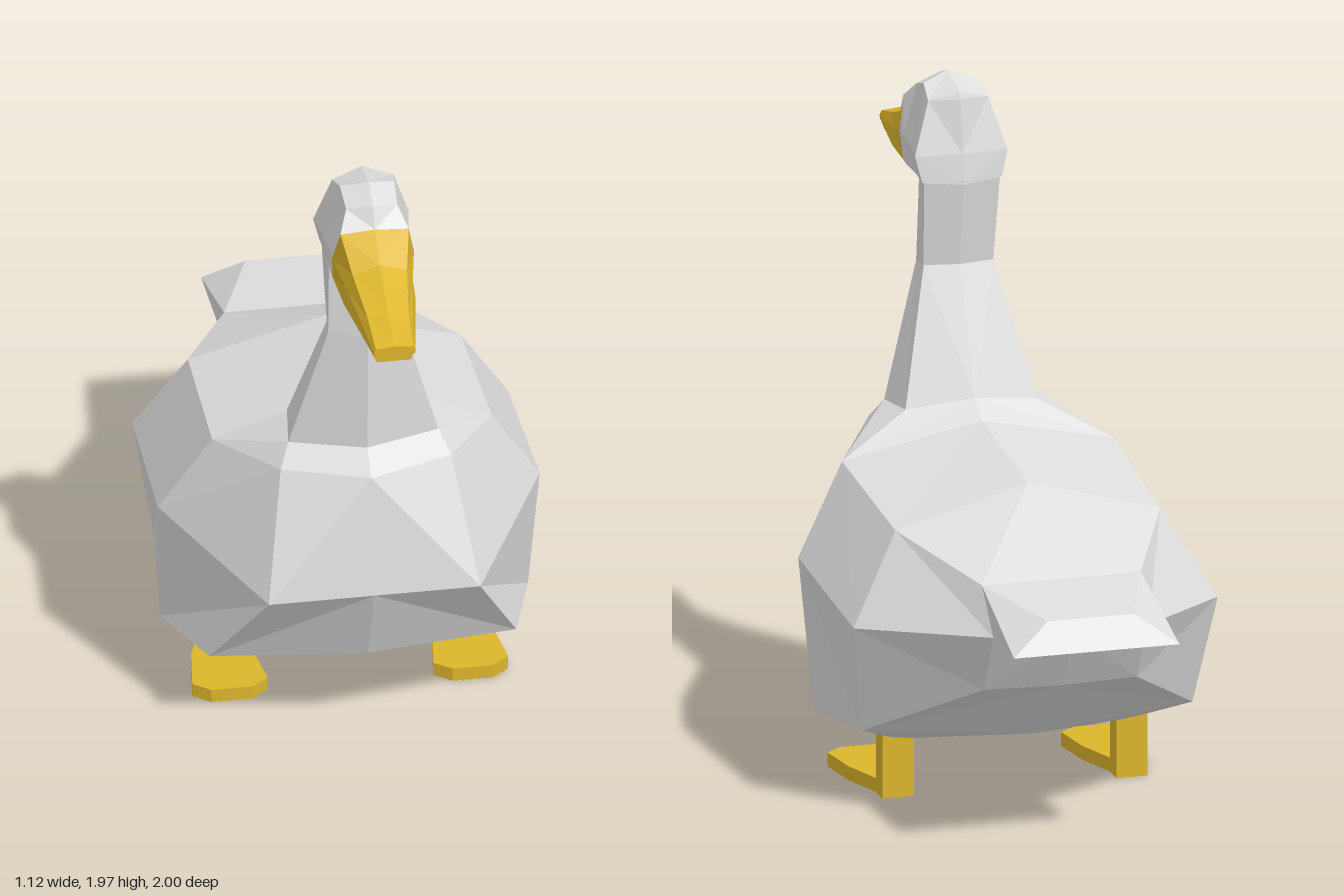
import * as THREE from 'three';

const white = new THREE.MeshStandardMaterial({ color: 0xdedede, flatShading: true });
white.name = 'pale feather';
const yellow = new THREE.MeshStandardMaterial({ color: 0xdcb52c, flatShading: true });
yellow.name = 'golden yellow';

// Left half faces (triangles or quads) are mirrored to make a whole faceted part.
function mirroredMesh(name, material, faces) {
  const pos = [];
  const tri = (a, b, c) => {
    pos.push(...a, ...b, ...c);
    for (const p of [a, c, b]) pos.push(-p[0], p[1], p[2]);
  };
  for (const [a, b, c, d] of faces) {
    tri(a, b, c);
    if (d) tri(a, c, d);
  }
  const geo = new THREE.BufferGeometry();
  geo.setAttribute('position', new THREE.Float32BufferAttribute(pos, 3));
  geo.computeVertexNormals();
  const mesh = new THREE.Mesh(geo, material);
  mesh.name = name;
  return mesh;
}

// Quads between neighbouring columns of points, each listed from top to bottom.
function sheet(...cols) {
  const faces = [];
  for (let c = 0; c + 1 < cols.length; c++)
    for (let i = 0; i + 1 < cols[c].length; i++)
      faces.push([cols[c][i], cols[c][i + 1], cols[c + 1][i + 1], cols[c + 1][i]]);
  return faces;
}

// Foot of the neck, shared with the body
const neckFront = [0, 1.03, 0.5], neckCorner = [0.22, 1.02, 0.42];
const neckBackCorner = [0.2, 1.03, 0.27], neckBack = [0, 1.06, 0.235];

function makeBody() {
  // Lines running from chest to tail
  const top = [[0, 1.01, 0.17], [0, 0.96, -0.3], [0, 0.77, -0.64], [0, 0.74, -0.94]];
  const shoulder = [[0.41, 0.91, 0.21], [0.4, 0.85, -0.3], [0.24, 0.77, -0.64], [0.13, 0.74, -0.94]];
  const side = [[0.56, 0.65, 0.15], [0.55, 0.59, -0.38], [0.235, 0.64, -0.74], [0.25, 0.655, -1]];
  const lower = [[0.54, 0.21, 0.06], [0.5, 0.25, -0.29], [0.23, 0.45, -0.63]];
  const bottom = [[0, 0.21, 0.06], [0, 0.215, -0.35], [0, 0.45, -0.65]];
  const keel = [0.35, 0.172, -0.15];
  const tailRoot = [0, 0.64, -0.77], tailTip = [0, 0.655, -1];
  const chest = [neckCorner, [0.25, 0.96, 0.47], [0.31, 0.6, 0.63], [0.45, 0.29, 0.41]];
  const chestMid = [neckFront, [0, 0.97, 0.57], [0, 0.6, 0.63], [0, 0.315, 0.5]];

  const faces = [
    // breast and flanks
    ...sheet([...chestMid, bottom[0]], [...chest, lower[0]]),
    ...sheet(chest, [neckBackCorner, shoulder[0], side[0], lower[0]]),
    [neckBack, neckBackCorner, shoulder[0], top[0]],
    // back, sides and tail top
    ...sheet(...[0, 1, 2].map(i => [top[i], shoulder[i], side[i], lower[i]])),
    ...sheet(...[2, 3].map(i => [top[i], shoulder[i], side[i]])),
    // belly
    [lower[0], bottom[0], keel], [bottom[0], bottom[1], keel],
    [bottom[1], lower[1], keel], [lower[1], lower[0], keel],
    ...sheet([lower[1], bottom[1]], [lower[2], bottom[2]]),
    // rump, tail underside and tail end
    [lower[2], bottom[2], tailRoot, side[2]],
    [side[2], tailRoot, tailTip, side[3]],
    [top[3], shoulder[3], side[3], tailTip],
  ];
  return mirroredMesh('body', white, faces);
}

function makeNeck() {
  return mirroredMesh('neck', white, sheet(
    [[0, 1.7, 0.49], [0, 1.42, 0.51], neckFront],
    [[0.105, 1.7, 0.45], [0.11, 1.42, 0.465], neckCorner],
    [[0.115, 1.68, 0.37], [0.105, 1.42, 0.405], neckBackCorner],
    [[0, 1.68, 0.352], [0, 1.42, 0.387], neckBack]));
}

// Joint between head and bill
const billRoot = [[0, 1.88, 0.635], [0.1, 1.87, 0.63], [0.12, 1.77, 0.6], [0.115, 1.69, 0.58], [0, 1.69, 0.58]];

function makeHead() {
  return mirroredMesh('head', white, sheet(
    billRoot,
    [[0, 1.94, 0.6], [0.075, 1.92, 0.575], [0.12, 1.77, 0.56], [0.115, 1.685, 0.55], [0, 1.685, 0.55]],
    [[0, 1.97, 0.52], [0.08, 1.945, 0.49], [0.125, 1.76, 0.47], [0.115, 1.685, 0.45], [0, 1.685, 0.45]],
    [[0, 1.94, 0.39], [0.09, 1.915, 0.41], [0.14, 1.76, 0.375], [0.12, 1.68, 0.367], [0, 1.68, 0.37]],
    [[0, 1.94, 0.39], [0, 1.92, 0.383], [0, 1.76, 0.362], [0, 1.67, 0.352], [0, 1.67, 0.36]]));
}

// Flattened cross-section of the bill
const billSection = (z, yTop, yCorner, yLow, wTop, wLow) => [
  [0, yTop, z], [wTop, yCorner, z], [(wTop + wLow) / 2 + 0.004, (yCorner + yLow) / 2, z],
  [wLow, yLow, z], [0, yLow, z]];
const flattenX = section => section.map(([, y, z]) => [0, y, z]);

function makeBill() {
  const bill = new THREE.Group();
  bill.name = 'bill';
  const tip = billSection(1, 1.715, 1.71, 1.685, 0.055, 0.06);
  bill.add(mirroredMesh('upperBill', yellow, sheet(
    flattenX(tip), tip,
    billSection(0.88, 1.752, 1.74, 1.688, 0.06, 0.08),
    billSection(0.725, 1.815, 1.79, 1.69, 0.08, 0.105),
    billRoot)));
  const lowTip = billSection(0.985, 1.685, 1.685, 1.655, 0.055, 0.05);
  bill.add(mirroredMesh('lowerBill', yellow, sheet(
    flattenX(lowTip), lowTip,
    billSection(0.64, 1.69, 1.69, 1.665, 0.11, 0.075),
    billSection(0.57, 1.69, 1.69, 1.68, 0.112, 0.09))));
  return bill;
}

function makeLeg(sign) {
  const leg = new THREE.Group();
  leg.name = sign > 0 ? 'leftLeg' : 'rightLeg';
  const shank = new THREE.Mesh(new THREE.BoxGeometry(0.095, 0.2, 0.065), yellow);
  shank.name = 'shank';
  shank.position.set(0, 0.1, -0.138);
  leg.add(shank);

  // Webbed foot, half outline as [x, z] from heel to toe
  const half = [[0.0475, -0.17], [0.0475, -0.1], [0.09, 0.03], [0.11, 0.18], [0.06, 0.22]];
  const outline = [...half, ...half.map(([x, z]) => [-x, z]).reverse()];
  const shape = new THREE.Shape(outline.map(([x, z]) => new THREE.Vector2(x, -z)));
  const geo = new THREE.ExtrudeGeometry(shape, { depth: 0.042, bevelEnabled: false });
  geo.rotateX(-Math.PI / 2);
  const foot = new THREE.Mesh(geo, yellow);
  foot.name = 'webbedFoot';
  leg.add(foot);
  leg.position.x = sign * 0.353;
  return leg;
}

export function createModel() {
  const goose = new THREE.Group();
  goose.name = 'waterfowl';
  goose.add(makeBody(), makeNeck(), makeHead(), makeBill(), makeLeg(1), makeLeg(-1));
  return goose;
}
